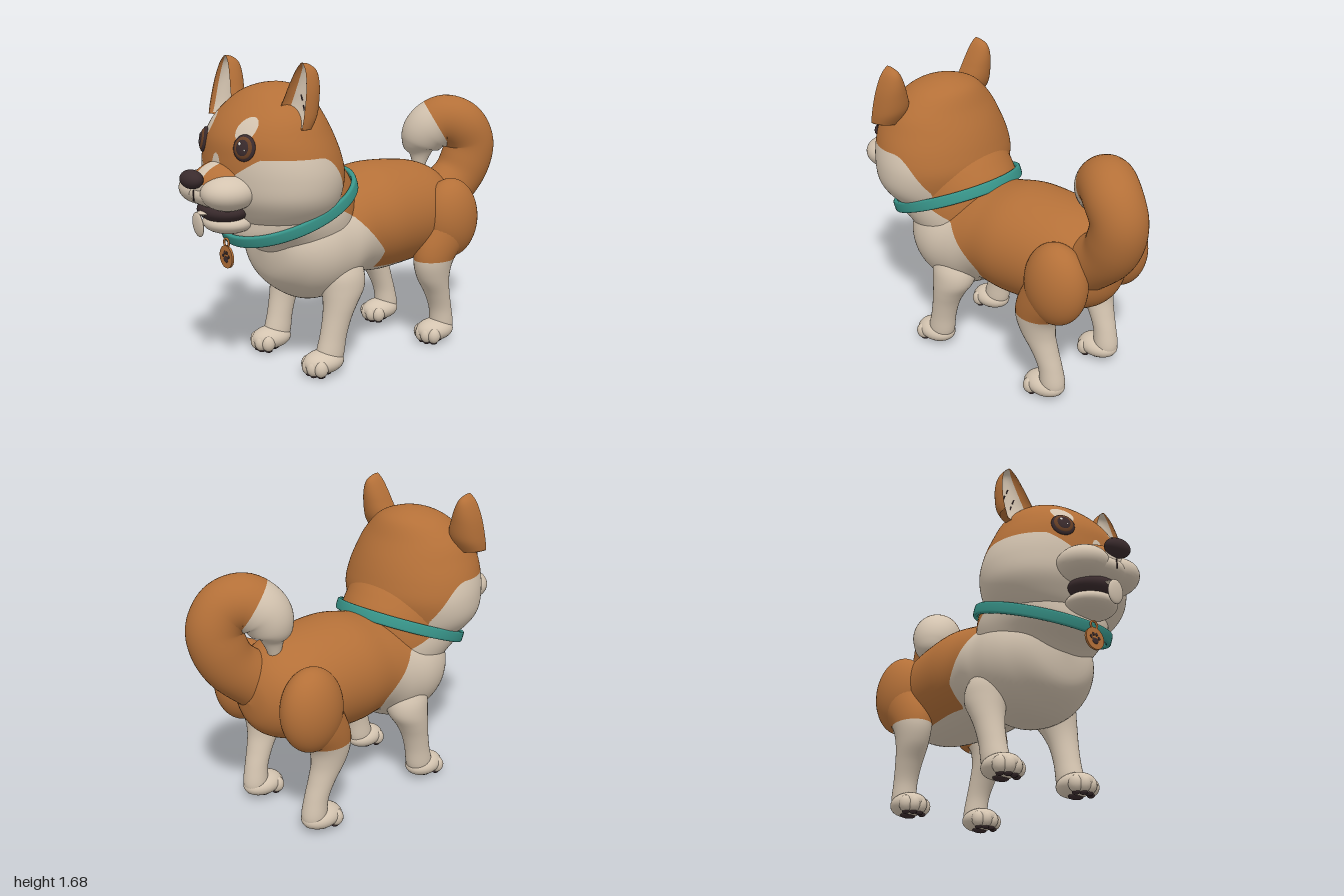
import * as THREE from 'three';

const mat = (name, color) => {
  const m = new THREE.MeshStandardMaterial({ color });
  m.name = name;
  return m;
};

export function createModel() {
  const orange = mat('orange fur', 0xb47038);
  const cream = mat('cream fur', 0xd4c4b0);
  const dark = mat('dark nose and pads', 0x3a2b2d);
  const iris = mat('brown iris', 0x6a4126);
  const teal = mat('teal collar', 0x38958a);
  const white = mat('white highlight', 0xf2eee8);
  const root = new THREE.Group();
  const V = (x, y, z) => new THREE.Vector3(x, y, z);

  const add = (name, geo, material, parent = root) => {
    const m = new THREE.Mesh(geo, material);
    m.name = name;
    parent.add(m);
    return m;
  };

  // Smooth interpolation through a short table of rows
  const smooth = (rows, t) => {
    const f = t * (rows.length - 1), i = Math.min(Math.floor(f), rows.length - 2), w = f - i;
    const a = rows[Math.max(i - 1, 0)], b = rows[i], c = rows[i + 1], d = rows[Math.min(i + 2, rows.length - 1)];
    return b.map((q, k) => {
      const m0 = (c[k] - a[k]) / 2, m1 = (d[k] - q) / 2, w2 = w * w, w3 = w2 * w;
      return (2 * w3 - 3 * w2 + 1) * q + (w3 - 2 * w2 + w) * m0 + (3 * w2 - 2 * w3) * c[k] + (w3 - w2) * m1;
    });
  };

  // Surface from closed rings, cut cleanly where field(p, u, v) = 0; its positive side takes the second material
  const grid = (nu, nv, point, field = () => -1) => {
    const pts = [], val = [], tris = [], lists = [[], []], cuts = {};
    for (let j = 0; j <= nv; j++) for (let i = 0; i < nu; i++) {
      const p = point(i / nu, j / nv);
      pts.push(p);
      val.push(field(p, i / nu, j / nv));
    }
    const centre = new THREE.Box3().setFromPoints(pts).getCenter(V(0, 0, 0));
    let volume = 0;
    for (let j = 0; j < nv; j++) for (let i = 0; i < nu; i++) {
      const a = j * nu + i, b = j * nu + (i + 1) % nu, c = a + nu, d = b + nu;
      for (const t of [[a, c, b], [b, c, d]]) {
        const [p, q, r] = t.map((k) => pts[k].clone().sub(centre));
        volume += p.dot(q.cross(r));
        tris.push(t);
      }
    }
    const cut = (a, b) => (cuts[[Math.min(a, b), Math.max(a, b)]] ??=
      pts.push(pts[a].clone().lerp(pts[b], val[a] / (val[a] - val[b]))) - 1);
    for (const t of tris) for (const s of [0, 1]) {
      if (volume < 0 && s === 0) t.reverse();
      const poly = [];
      t.forEach((a, k) => {
        const b = t[(k + 1) % 3];
        if ((val[a] > 0) === (s === 1)) poly.push(a);
        if ((val[a] > 0) !== (val[b] > 0)) poly.push(cut(a, b));
      });
      for (let k = 2; k < poly.length; k++) lists[s].push(poly[0], poly[k - 1], poly[k]);
    }
    const g = new THREE.BufferGeometry().setFromPoints(pts);
    g.setIndex([...lists[0], ...lists[1]]);
    g.addGroup(0, lists[0].length, 0);
    g.addGroup(lists[0].length, lists[1].length, 1);
    g.computeVertexNormals();
    return g;
  };
  const TAU = Math.PI * 2;

  // Upright loft, rows are [y, x, z, radiusX, radiusZ]
  const upright = (rows, nu, nv, field, place = (p) => p) => grid(nu, nv, (u, v) => {
    const [y, x, z, rx, rz] = smooth(rows, v), a = u * TAU;
    return place(V(x + Math.max(rx, 0) * Math.cos(a), y, z + Math.max(rz, 0) * Math.sin(a)));
  }, field);

  // Ellipsoid, finer when large
  const blob = (name, material, [x, y, z], [rx, ry, rz], parent = root) => {
    const n = Math.max(rx, ry, rz) > 0.055 ? 32 : 16;
    const m = add(name, new THREE.SphereGeometry(1, n, n * 0.625), material, parent);
    m.position.set(x, y, z);
    m.scale.set(rx, ry, rz);
    return m;
  };

  // Fur pattern: cream cheeks, brows and blaze above the collar, cream chest and belly below
  const COLLAR = V(0, 0.9, 0.36);
  const tilt = (p) => p.applyAxisAngle(V(1, 0, 0), 0.384).add(COLLAR);
  const creamField = ({ x, y, z }) => {
    const ax = Math.abs(x);
    if ((y - 0.9) * 0.927 + (z - 0.36) * 0.375 < 0)
      return Math.max(0.515 - y, z - Math.max(0.14 - (0.85 - y) * 0.95, 0.14 + (y - 0.85) * 2, -0.065));
    const brow = Math.min(z - 0.5, 0.05 * (1 - ((ax - 0.165) / 0.052) ** 2 - ((y - 1.35) / 0.06) ** 2));
    const blaze = Math.min(z - 0.6, 0.04 * (1 - (ax / 0.04) ** 2 - ((y - 1.14) / 0.085) ** 2));
    const dip = z > 0.5 ? Math.max(0, 0.27 - ax) * 0.65 : 0;
    return Math.max(brow, blaze, Math.min(z - 0.25, 1.21 - 5.2 * Math.max(0, 0.45 - z) ** 2 - dip - y));
  };
  const fur = [orange, cream];

  // Body, rows are [z, y, radiusX, radiusY]
  const bodyRows = [[-0.77, 0.74, 0, 0], [-0.745, 0.74, 0.13, 0.13], [-0.66, 0.75, 0.24, 0.225], [-0.5, 0.76, 0.31, 0.285],
    [-0.2, 0.76, 0.34, 0.31], [0, 0.745, 0.325, 0.29], [0.15, 0.69, 0.335, 0.31], [0.3, 0.68, 0.34, 0.31],
    [0.42, 0.685, 0.3, 0.26], [0.515, 0.695, 0.2, 0.17], [0.55, 0.7, 0, 0]];
  add('body', grid(72, 70, (u, v) => {
    const [z, y, rx, ry] = smooth(bodyRows, v), a = u * TAU;
    return V(Math.max(rx, 0) * Math.cos(a), y + Math.max(ry, 0) * Math.sin(a), z);
  }, creamField), fur);

  // Neck and collar share one tilted frame
  add('neck', upright([[-0.25, 0, -0.05, 0.28, 0.25], [-0.1, 0, -0.03, 0.325, 0.31], [0, 0, 0, 0.335, 0.365],
    [0.1, 0, 0, 0.34, 0.34], [0.2, 0, 0, 0.34, 0.3], [0.35, 0, 0, 0.3, 0.25]], 72, 32, creamField, tilt), fur);
  const soft = (n) => Math.sign(n) * Math.sqrt(Math.abs(n));
  add('collar', grid(72, 16, (u, v) => {
    const a = u * TAU, b = v * TAU + Math.PI, r = 0.014 * soft(Math.cos(b));
    return tilt(V((0.353 + r) * Math.cos(a), 0.031 * soft(Math.sin(b)), (0.381 + r) * Math.sin(a)));
  }), [teal, teal]);

  // Name tag with paw mark
  const tag = new THREE.Group();
  tag.name = 'tag';
  tag.position.set(0, 0.675, 0.755);
  root.add(tag);
  add('tagDisc', new THREE.CylinderGeometry(0.06, 0.06, 0.012, 32).rotateX(Math.PI / 2), orange, tag);
  add('tagRing', new THREE.TorusGeometry(0.022, 0.006, 8, 24), orange, tag).position.y = 0.075;
  blob('tagPawPad', dark, [0, -0.014, 0.006], [0.021, 0.017, 0.004], tag);
  for (const [x, y] of [[-0.026, 0.004], [-0.01, 0.021], [0.01, 0.021], [0.026, 0.004]])
    blob('tagPawToe', dark, [x, y, 0.006], [0.008, 0.01, 0.004], tag);

  // Head
  add('head', upright([[1.56, 0, 0.43, 0, 0], [1.545, 0, 0.44, 0.1, 0.09], [1.5, 0, 0.45, 0.21, 0.175], [1.4, 0, 0.475, 0.315, 0.255],
    [1.3, 0, 0.48, 0.37, 0.31], [1.2, 0, 0.47, 0.408, 0.335], [1.1, 0, 0.46, 0.425, 0.345], [1, 0, 0.46, 0.415, 0.33],
    [0.92, 0, 0.45, 0.37, 0.3], [0.85, 0, 0.45, 0.29, 0.25], [0.79, 0, 0.45, 0.17, 0.17], [0.77, 0, 0.45, 0, 0]], 128, 90, creamField), fur);

  // Muzzle, nose and mouth
  add('muzzleBridge', grid(64, 40, (u, v) => {
    const a = u * TAU, b = v * Math.PI;
    return V(0.18 * Math.sin(b) * Math.cos(a), 1.055 + 0.13 * Math.cos(b), 0.74 + 0.19 * Math.sin(b) * Math.sin(a));
  }, (p) => Math.max(1.08 - p.y, 0.038 - Math.abs(p.x))), fur);
  blob('muzzleCentre', cream, [0, 1.02, 0.8], [0.19, 0.075, 0.14]);
  blob('nose', dark, [0, 1.105, 0.948], [0.077, 0.048, 0.052]);
  blob('mouth', dark, [0, 0.93, 0.77], [0.155, 0.065, 0.125]);
  blob('lowerJaw', cream, [0, 0.862, 0.74], [0.14, 0.06, 0.13]);
  blob('tongueBack', cream, [0, 0.925, 0.87], [0.042, 0.012, 0.06]);
  blob('tongueTip', cream, [0, 0.87, 0.918], [0.05, 0.065, 0.014]).rotation.x = 0.1;
  add('lipLine', new THREE.CapsuleGeometry(0.004, 0.05, 4, 8), dark).position.set(0, 1.02, 0.939);

  // Ear section rows are [innerX, innerY, outerX, outerY, depth]
  const earRows = [[0.24, 1.34, 0.425, 1.36, 0.1], [0.225, 1.44, 0.428, 1.42, 0.13], [0.255, 1.53, 0.42, 1.52, 0.125],
    [0.285, 1.6, 0.405, 1.59, 0.11], [0.31, 1.645, 0.385, 1.64, 0.085], [0.333, 1.67, 0.358, 1.67, 0.04], [0.345, 1.677, 0.345, 1.677, 0]];
  const earPoint = (side, u, v) => {
    const [xi, yi, xo, yo, d] = smooth(earRows, Math.max(0, (v - 0.02) / 0.98));
    const a = u * TAU, c = v === 0 ? 0 : Math.cos(a), s = v === 0 ? 0.8 : Math.sin(a);
    const y = (yi + yo) / 2 + (yo - yi) / 2 * c;
    const z = 0.585 - (y - 1.35) * 0.2 - d * (s > 0 ? s ** 0.7 : -0.6 * s);
    return V(side * ((xi + xo) / 2 + (xo - xi) / 2 * c), y, z);
  };

  // Foot with toes and pads
  const foot = (x, z) => {
    const g = new THREE.Group();
    g.name = 'foot';
    g.position.set(x, 0, z);
    root.add(g);
    blob('paw', cream, [0, 0.073, -0.005], [0.092, 0.064, 0.12], g);
    for (const [tx, tz] of [[-0.058, 0.055], [-0.021, 0.078], [0.021, 0.078], [0.058, 0.055]]) {
      blob('toe', cream, [tx, 0.058, tz], [0.036, 0.046, 0.04], g);
      blob('toePad', dark, [tx * 0.9, 0.014, tz - 0.005], [0.019, 0.012, 0.023], g);
    }
    blob('heelPad', dark, [0, 0.014, -0.01], [0.045, 0.014, 0.035], g);
  };

  for (const s of [-1, 1]) {
    blob('muzzleCheek', cream, [s * 0.105, 1.035, 0.8], [0.135, 0.092, 0.145]);

    add('ear', grid(56, 44, (u, v) => earPoint(s, u, v),
      (p, u, v) => Math.min(u - 0.6, 0.94 - u, v - 0.05, 0.92 - v)), fur);
    for (const [u, v] of [[0.72, 0.42], [0.68, 0.3], [0.78, 0.32], [0.73, 0.22]]) {
      const hair = add('earHair', new THREE.BoxGeometry(0.006, 0.03, 0.006), dark);
      hair.position.copy(earPoint(s, u, v));
      hair.rotation.z = s * 0.35;
    }

    // Eyes: dark rim, iris, pupil and highlights in shallow layers
    const eye = new THREE.Group();
    eye.name = 'eye';
    eye.position.set(s * 0.188, 1.265, 0.756);
    eye.rotation.set(-0.2, s * 0.42, 0, 'YXZ');
    root.add(eye);
    blob('eyeRim', dark, [0, 0, 0], [0.063, 0.067, 0.02], eye);
    blob('iris', iris, [0, 0, 0.007], [0.053, 0.057, 0.017], eye);
    blob('pupil', dark, [0, 0, 0.012], [0.042, 0.046, 0.015], eye);
    blob('eyeHighlight', white, [-0.014, 0.018, 0.024], [0.008, 0.009, 0.004], eye);
    blob('eyeHighlight', white, [0.016, -0.012, 0.024], [0.005, 0.005, 0.004], eye);

    // Front leg
    add('frontLeg', upright([[0.66, 0.17, 0.19, 0.1, 0.12], [0.55, 0.215, 0.18, 0.115, 0.135], [0.46, 0.238, 0.18, 0.105, 0.125],
      [0.38, 0.248, 0.205, 0.09, 0.097], [0.3, 0.25, 0.23, 0.077, 0.08], [0.2, 0.248, 0.255, 0.07, 0.075],
      [0.1, 0.246, 0.275, 0.07, 0.08], [0.04, 0.245, 0.28, 0.055, 0.06]].map(([y, x, ...r]) => [y, s * x, ...r]), 32, 28), [cream, cream]);
    foot(s * 0.245, 0.322);

    // Hind thigh and leg
    add('thigh', grid(44, 44, (u, v) => {
      const a = u * TAU, b = v * Math.PI;
      return V(s * (0.27 + 0.14 * Math.sin(b) * Math.cos(a)), 0.735 + 0.23 * Math.cos(b), -0.58 + 0.18 * Math.sin(b) * Math.sin(a));
    }, (p) => 0.515 - p.y), fur);
    add('hindLeg', upright([[0.72, 0.27, -0.57, 0.12, 0.16], [0.6, 0.27, -0.51, 0.115, 0.16], [0.5, 0.27, -0.46, 0.1, 0.125],
      [0.4, 0.265, -0.465, 0.085, 0.1], [0.3, 0.257, -0.505, 0.073, 0.075], [0.2, 0.25, -0.54, 0.066, 0.066],
      [0.1, 0.246, -0.555, 0.068, 0.07], [0.04, 0.245, -0.55, 0.055, 0.06]].map(([y, x, ...r]) => [y, s * x, ...r]),
    32, 44, (p) => 0.515 - p.y), fur);
    foot(s * 0.245, -0.5);
  }

  // Curled tail, rows are [x, y, z, radius]
  const tailRows = [[0.08, 0.8, -0.64, 0.15], [0.11, 0.92, -0.78, 0.145], [0.13, 1.03, -0.84, 0.148], [0.14, 1.14, -0.855, 0.145], [0.12, 1.235, -0.8, 0.148],
    [0.06, 1.265, -0.72, 0.148], [0, 1.205, -0.65, 0.143], [-0.03, 1.12, -0.625, 0.115], [-0.03, 1.06, -0.62, 0.06], [-0.03, 0.97, -0.61, 0.03]];
  const across = V(0.84, 0, 0.55).normalize();
  add('tail', grid(48, 64, (u, v) => {
    const [x, y, z, r] = smooth(tailRows, v), a = u * TAU;
    const p = V(...smooth(tailRows, Math.max(v - 0.01, 0))), q = V(...smooth(tailRows, Math.min(v + 0.01, 1)));
    const t = q.sub(p).normalize(), n = across.clone().cross(t).normalize(), b = t.clone().cross(n);
    return V(x, y, z).addScaledVector(n, r * Math.cos(a)).addScaledVector(b, r * Math.sin(a));
  }, (p, u, v) => v - 0.6), fur);

  return root;
}
